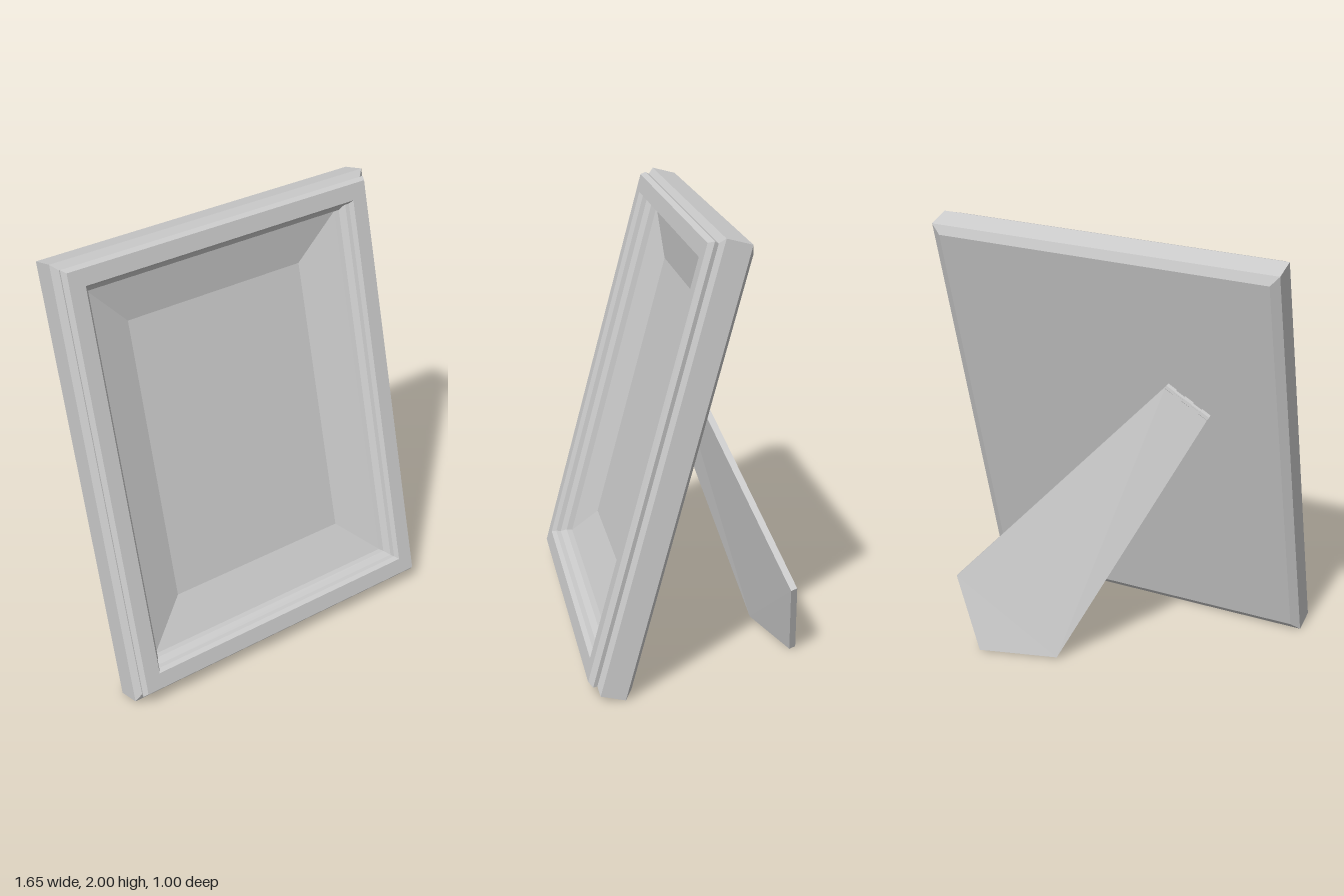
import * as THREE from 'three';

const grey = new THREE.MeshStandardMaterial({ color: 0xcccccc, flatShading: true });

// Skin a stack of rings (Vector3 loops, counter-clockwise from the front, back ring first).
function loft(name, rings, capBack, capFront) {
  const pos = [];
  const tri = (...pts) => pts.forEach((p) => pos.push(p.x, p.y, p.z));
  const n = rings[0].length;
  for (let k = 0; k < rings.length - 1; k++) {
    for (let j = 0; j < n; j++) {
      const i = (j + 1) % n;
      const a = rings[k][j], b = rings[k][i], c = rings[k + 1][i], d = rings[k + 1][j];
      tri(a, b, c);
      tri(a, c, d);
    }
  }
  const first = rings[0], last = rings[rings.length - 1];
  for (let j = 1; j < n - 1; j++) {
    if (capBack) tri(first[0], first[j + 1], first[j]);
    if (capFront) tri(last[0], last[j], last[j + 1]);
  }
  const geo = new THREE.BufferGeometry();
  geo.setAttribute('position', new THREE.Float32BufferAttribute(pos, 3));
  geo.computeVertexNormals();
  const mesh = new THREE.Mesh(geo, grey);
  mesh.name = name;
  return mesh;
}

// Rectangle inset from the frame's outer edge, at a given depth.
const HALF_W = 0.825, HALF_H = 1.02, MID = 0.933;
function rect([inset, depth]) {
  const w = HALF_W - inset, h = HALF_H - inset;
  return [[-1, -1], [1, -1], [1, 1], [-1, 1]]
    .map(([sx, sy]) => new THREE.Vector3(sx * w, MID + sy * h, depth));
}

export function createModel() {
  const model = new THREE.Group();
  model.name = 'pictureFrame';

  // Leaning frame: stepped moulding with a flat back
  const lean = new THREE.Group();
  lean.name = 'leaningFrame';
  lean.rotation.x = -THREE.MathUtils.degToRad(15);
  const moulding = [
    [0.04, 0.31], [0, 0.332], [0, 0.445],                    // back bevel and outer edge
    [0.03, 0.463], [0.025, 0.481], [0.04, 0.505],            // outer step
    [0.115, 0.505], [0.128, 0.485], [0.132, 0.463],          // front face, inner step
    [0.155, 0.44], [0.16, 0.413],
  ];
  lean.add(loft('moulding', moulding.map(rect), true, false));

  // Dished picture panel with sloping borders
  lean.add(loft('picturePanel', [[0.16, 0.413], [0.36, 0.357]].map(rect), false, true));
  model.add(lean);

  // Easel leg: thin plate slanting sideways from the hinge to the ground
  const outline = [
    [0.12, 0.006, -0.4], [0.48, 0.006, -0.5], [0.61, 0.36, -0.465],
    [-0.27, 1.335, -0.06], [-0.46, 1.2, -0.02],
  ].map((p) => new THREE.Vector3(...p));
  const offset = new THREE.Vector3(0.263, -0.187, 0.946).multiplyScalar(0.032);
  const legFront = outline.map((p) => p.clone().add(offset));
  model.add(loft('easelLeg', [outline, legFront], true, true));

  // Hinge: alternating knuckles along the top edge of the leg
  const hinge = new THREE.Group();
  hinge.name = 'hinge';
  const start = outline[4].clone().addScaledVector(offset, 0.5);
  const end = outline[3].clone().addScaledVector(offset, 0.5);
  const axis = end.clone().sub(start);
  const count = 5, length = axis.length() / count;
  for (let i = 0; i < count; i++) {
    const radius = i % 2 ? 0.014 : 0.019;
    const knuckle = new THREE.Mesh(new THREE.CylinderGeometry(radius, radius, length, 8), grey);
    knuckle.name = 'hingeKnuckle';
    knuckle.position.copy(start).addScaledVector(axis, (i + 0.5) / count);
    knuckle.quaternion.setFromUnitVectors(new THREE.Vector3(0, 1, 0), axis.clone().normalize());
    hinge.add(knuckle);
  }
  model.add(hinge);

  return model;
}
